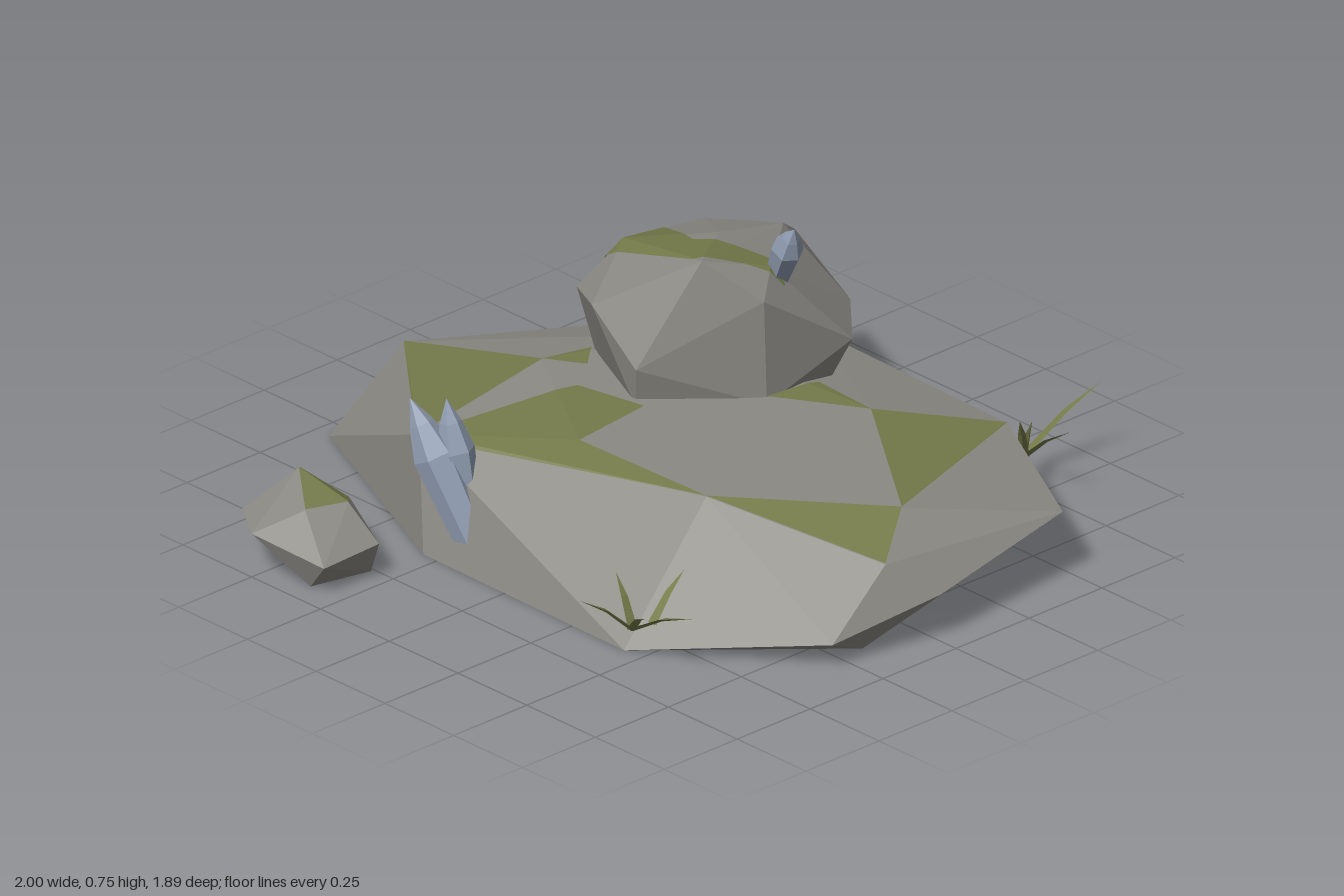
import * as THREE from 'three';
import { ConvexGeometry } from 'three/addons/geometries/ConvexGeometry.js';

const material = (color) => new THREE.MeshStandardMaterial({ color, flatShading: true, side: THREE.DoubleSide });
const stone = material(0x8b8983);
const mossGreen = material(0x747a4a);
const grassGreen = material(0x747a48);
const crystalBlue = material(0x909db2);

const V = (p) => new THREE.Vector3(...p);

function makeMesh(name, geometry, mat) {
  const mesh = new THREE.Mesh(geometry, mat);
  mesh.name = name;
  return mesh;
}

function fromTriangles(positions) {
  const g = new THREE.BufferGeometry();
  g.setAttribute('position', new THREE.Float32BufferAttribute(positions, 3));
  g.computeVertexNormals();
  return g;
}

// All hull triangles as [a, b, c]
function trianglesOf(geometry) {
  const p = geometry.attributes.position;
  const list = [];
  for (let i = 0; i < p.count; i += 3) {
    list.push([0, 1, 2].map((k) => new THREE.Vector3().fromBufferAttribute(p, i + k)));
  }
  return list;
}

// Cut a ground-plan polygon of [x, z] corners by one edge of a facet
function clip(poly, a, b) {
  const side = (p) => (b.z - a.z) * (p[0] - a.x) - (b.x - a.x) * (p[1] - a.z);
  const out = [];
  poly.forEach((p, i) => {
    const q = poly[(i + 1) % poly.length];
    const sp = side(p), sq = side(q);
    if (sp >= 0) out.push(p);
    if (sp * sq < 0) {
      const t = sp / (sp - sq);
      out.push([p[0] + t * (q[0] - p[0]), p[1] + t * (q[1] - p[1])]);
    }
  });
  return out;
}

// Moss lies on the upward facets, a thin skin on either side of the stone
function drapeMoss(facets, patches) {
  const pos = [];
  for (const [a, b, c] of facets) {
    const n = new THREE.Vector3().crossVectors(b.clone().sub(a), c.clone().sub(a)).normalize();
    if (n.y < 0.1) continue;
    for (const patch of patches) {
      const poly = clip(clip(clip(patch, a, b), b, c), c, a);
      for (const lift of [0.003, -0.003]) {
        const at = ([x, z]) => [x, a.y - (n.x * (x - a.x) + n.z * (z - a.z)) / n.y + lift, z];
        for (let i = 1; i + 1 < poly.length; i++) {
          pos.push(...at(poly[0]), ...at(poly[i]), ...at(poly[i + 1]));
        }
      }
    }
  }
  return fromTriangles(pos);
}

// A faceted boulder with moss; open ones have no floor
function rock(name, points, patches, open = false) {
  const group = new THREE.Group();
  group.name = name;
  let facets = trianglesOf(new ConvexGeometry(points.map(V)));
  if (open) facets = facets.filter((t) => t.some((v) => v.y > 0.001));
  const positions = facets.flatMap((t) => t.flatMap((v) => v.toArray()));
  group.add(makeMesh(name + 'Stone', fromTriangles(positions), stone));
  group.add(makeMesh(name + 'Moss', drapeMoss(facets, patches), mossGreen));
  return group;
}

// Six-sided pointed crystal from base to tip
function crystal(name, base, tip, radius) {
  const from = V(base), dir = V(tip).sub(from), h = dir.length();
  const profile = [[0, 0], [0.8, 0], [1, 0.6], [0.55, 0.82], [0, 1]]
    .map(([r, y]) => new THREE.Vector2(r * radius, y * h));
  const mesh = makeMesh(name, new THREE.LatheGeometry(profile, 6), crystalBlue);
  mesh.position.copy(from);
  mesh.quaternion.setFromUnitVectors(new THREE.Vector3(0, 1, 0), dir.normalize());
  return mesh;
}

// Curved, flattened three-sided blade tapering to its tip
function blade(base, tip, width = 0.016) {
  const a = V(base), c = V(tip);
  const mid = a.clone().lerp(c, 0.5).add(new THREE.Vector3(0, 0.012, 0));
  const dir = c.clone().sub(a).normalize();
  const u = new THREE.Vector3(dir.z, 0, -dir.x).normalize();
  const w = new THREE.Vector3().crossVectors(dir, u);
  const ring = (o, r) => [0, 1, 2].map((k) => o.clone()
    .addScaledVector(u, r * Math.cos(k * Math.PI * 2 / 3 + Math.PI / 6))
    .addScaledVector(w, r * 0.35 * Math.sin(k * Math.PI * 2 / 3 + Math.PI / 6)));
  const r0 = ring(a, width), r1 = ring(mid, width * 0.7);
  const tris = [];
  for (let k = 0; k < 3; k++) {
    const j = (k + 1) % 3;
    tris.push(r0[k], r0[j], r1[j], r0[k], r1[j], r1[k], r1[k], r1[j], c);
  }
  return makeMesh('grassBlade', fromTriangles(tris.flatMap((v) => v.toArray())), grassGreen);
}

function tuft(name, base, tips) {
  const group = new THREE.Group();
  group.name = name;
  tips.forEach((t) => group.add(blade(base, t)));
  return group;
}

export function createModel() {
  const model = new THREE.Group();
  model.name = 'mossyRocks';

  // Broad base slab: floor outline, widest rim, then top
  model.add(rock('baseRock', [
    [-0.31, 0, -0.95], [-0.6, 0, -0.3], [-0.61, 0, 0.44], [-0.17, 0, 0.84], [0.48, 0, 0.38], [0.49, 0, -0.42],
    [0.24, 0.03, -0.74], [0.77, 0.055, 0], [0.69, 0.1, 0.4], [0.46, 0.19, 0.9], [0, 0.13, 0.945], [-0.31, 0.07, 0.88],
    [-0.13, 0.23, -0.87], [0.56, 0.2, -0.51], [0.65, 0.24, -0.2], [0.62, 0.25, 0.53],
    [-0.11, 0.22, 0.86], [0.05, 0.285, 0.75], [-0.29, 0.305, 0.4], [-0.52, 0.27, -0.4],
    [-0.31, 0.31, -0.04], [0.34, 0.31, 0.33], [-0.06, 0.31, -0.44], [0.3, 0.31, -0.3],
  ], [
    [[-0.13, -0.87], [-0.53, -0.4], [-0.06, -0.44]],
    [[-0.53, -0.4], [-0.1, -0.27], [-0.06, -0.07], [-0.31, -0.04]],
    [[-0.53, -0.4], [-0.31, -0.04], [-0.29, 0.4]],
    [[-0.06, -0.44], [0.08, -0.41], [0, -0.34]],
    [[-0.29, 0.4], [0.05, 0.75], [-0.11, 0.86]],
    [[0.05, 0.75], [0.34, 0.33], [0.62, 0.53]],
    [[0.2, 0.1], [0.36, 0.12], [0.34, 0.33]],
  ], true));

  // Boulder resting on the slab
  model.add(rock('upperRock', [
    [-0.08, 0.54, -0.24], [0.1, 0.675, -0.03], [0.3, 0.635, -0.18], [0.28, 0.62, 0.03], [0.53, 0.58, -0.19],
    [0.71, 0.45, -0.34], [0.58, 0.42, 0], [0.47, 0.39, 0.125], [0.2, 0.57, 0.09], [0.2, 0.29, 0.1], [-0.06, 0.4, -0.1],
    [-0.04, 0.28, -0.12], [0.65, 0.23, -0.28], [0.02, 0.5, -0.4], [0.15, 0.6, -0.37], [0.45, 0.55, -0.39],
    [0.2, 0.38, -0.45], [0.47, 0.37, -0.45], [0.45, 0.24, -0.42], [0.1, 0.25, -0.4], [0.42, 0.24, 0.07],
    [0.45, 0.21, -0.33], [0.2, 0.2, -0.2],
  ], [
    [[0.1, -0.39], [0.3, -0.38], [0.22, -0.19], [0.1, -0.06]],
    [[0.22, -0.19], [0.33, 0.02], [0.3, 0.06], [0.1, -0.06]],
  ]));

  // Small stone beside the slab
  model.add(rock('smallRock', [
    [-1, 0.12, -0.5], [-0.92, 0.12, -0.62], [-0.8, 0.11, -0.65], [-0.71, 0.09, -0.52], [-0.71, 0.14, -0.45],
    [-0.78, 0.1, -0.27], [-0.95, 0.08, -0.29], [-0.81, 0.23, -0.53], [-0.91, 0.19, -0.4], [-0.8, 0.19, -0.36],
    [-0.93, 0, -0.36], [-0.76, 0, -0.32], [-0.84, 0, -0.56],
  ], [
    [[-0.81, -0.53], [-0.91, -0.4], [-0.8, -0.36], [-0.72, -0.44]],
  ]));

  // Crystals
  model.add(crystal('sideCrystalTall', [-0.54, 0.06, -0.18], [-0.59, 0.41, -0.36], 0.058));
  model.add(crystal('sideCrystalInner', [-0.52, 0.08, -0.22], [-0.54, 0.42, -0.28], 0.05));
  model.add(crystal('sideCrystalShort', [-0.54, 0.12, -0.25], [-0.48, 0.32, -0.27], 0.034));
  model.add(crystal('topCrystal', [0.32, 0.57, 0.01], [0.285, 0.75, 0.11], 0.042));

  // Grass tufts at both sides
  model.add(tuft('rightGrass', [-0.61, 0.07, 0.47],
    [[-0.75, 0.18, 0.43], [-0.66, 0.21, 0.74], [-0.69, 0.17, 0.6], [-0.6, 0.2, 0.4]]));
  model.add(tuft('rightLooseBlade', [-0.54, 0.06, 0.47], [[-0.42, 0.17, 0.46]]));
  model.add(tuft('leftGrass', [0.77, 0.07, 0.43],
    [[0.69, 0.22, 0.5], [0.74, 0.22, 0.63], [0.68, 0.18, 0.37], [0.77, 0.18, 0.46]]));
  model.add(tuft('leftLooseBlade', [0.81, 0.07, 0.41], [[1, 0.22, 0.47]]));
  return model;
}
